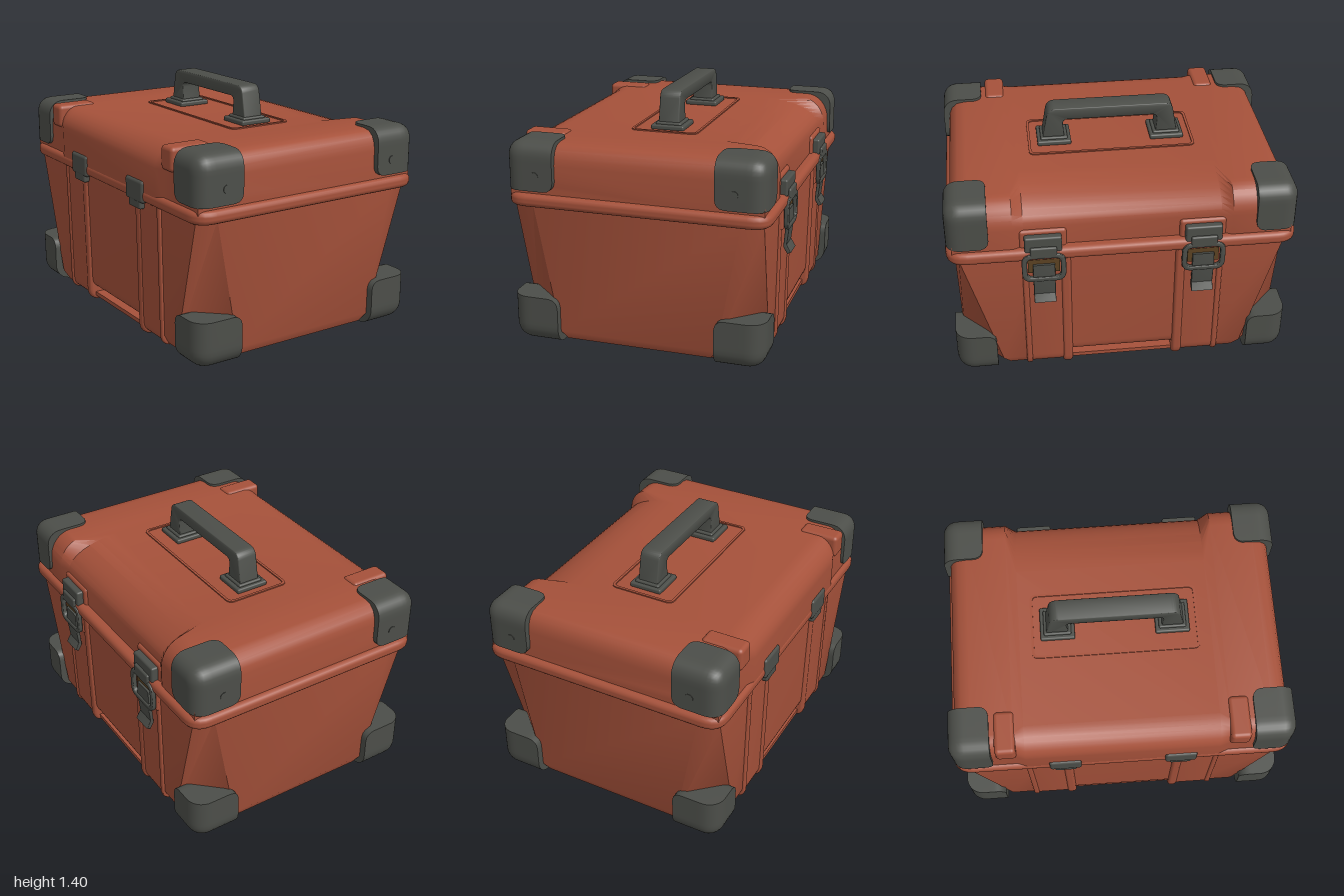
import * as THREE from 'three';
import { toCreasedNormals } from 'three/addons/utils/BufferGeometryUtils.js';
import { RoundedBoxGeometry } from 'three/addons/geometries/RoundedBoxGeometry.js';

const material = (name, color) => Object.assign(new THREE.MeshStandardMaterial({ color }), { name });

// Skin closed cross-sections and cap both ends
function loft(rings) {
  const n = rings[0].length, last = (rings.length - 1) * n, index = [];
  for (let r = 0; r < rings.length - 1; r++) {
    for (let i = 0; i < n; i++) {
      const a = r * n + i, b = r * n + (i + 1) % n;
      index.push(a, b, b + n, a, b + n, a + n);
    }
  }
  for (let i = 1; i < n - 1; i++) index.push(0, i + 1, i, last, last + i, last + i + 1);
  const g = new THREE.BufferGeometry();
  g.setAttribute('position', new THREE.Float32BufferAttribute(rings.flat(2), 3));
  g.setIndex(index);
  return toCreasedNormals(g, 0.6);
}

function roundedRect(Type, w, h, r) {
  const s = new Type(), x = w / 2, y = h / 2;
  s.moveTo(-x + r, -y);
  s.lineTo(x - r, -y).quadraticCurveTo(x, -y, x, -y + r);
  s.lineTo(x, y - r).quadraticCurveTo(x, y, x - r, y);
  s.lineTo(-x + r, y).quadraticCurveTo(-x, y, -x, y - r);
  s.lineTo(-x, -y + r).quadraticCurveTo(-x, -y, -x + r, -y);
  return s;
}

// Extrude along z, centred on z = 0
function slab(shape, depth, bevel = 0) {
  const g = new THREE.ExtrudeGeometry(shape, {
    depth: depth - 2 * bevel, bevelEnabled: bevel > 0, bevelSize: bevel,
    bevelThickness: bevel, bevelOffset: -bevel, bevelSegments: 4, curveSegments: 6,
  });
  return toCreasedNormals(g.translate(0, 0, bevel - depth / 2), 0.6);
}

// U-shaped slice of the lower box
function bodySlice(hx, bottom, width, bevel) {
  const s = new THREE.Shape(), r = 0.07, b = hx - 0.012;
  s.moveTo(-b + r, bottom);
  s.lineTo(b - r, bottom).quadraticCurveTo(b, bottom, b, bottom + r);
  s.lineTo(hx, 0.84).lineTo(-hx, 0.84).lineTo(-b, bottom + r);
  s.quadraticCurveTo(-b, bottom, -b + r, bottom);
  return slab(s, width, bevel);
}

// Lid cross-section at a given z, with separate shoulders left and right
function lidSection(z, xl, xr, top, rl, rr) {
  const pts = [[xr, 0.88, z]], n = 8, base = 0.93;
  const ryR = Math.min(0.16, top - base), ryL = Math.min(0.13, top - base);
  for (let i = 0; i <= n; i++) {
    const a = i / n * Math.PI / 2;
    pts.push([xr - rr + rr * Math.cos(a), top - ryR + ryR * Math.sin(a), z]);
  }
  for (let i = 0; i <= n; i++) {
    const a = Math.PI / 2 * (1 + i / n);
    pts.push([xl + rl + rl * Math.cos(a), top - ryL + ryL * Math.sin(a), z]);
  }
  pts.push([xl, 0.88, z]);
  return pts;
}

// Corner guard: rounded outer corner, softened inner notches, placed by signs
function guardGeometry(size, outer, signs, r) {
  const g = new THREE.BoxGeometry(...size, 10, 10, 10).toNonIndexed();
  const pos = g.attributes.position, r2 = 0.055;
  const shrink = d => {
    const len = Math.hypot(...d), m = Math.max(...d);
    return len > 0 ? m / len : 1;
  };
  for (let v = 0; v < pos.count; v++) {
    let p = [0, 1, 2].map(i => pos.getComponent(v, i) + size[i] / 2);
    const d = p.map((c, i) => Math.max(0, c - size[i] + r)), k = shrink(d);
    p = p.map((c, i) => c - d[i] + d[i] * k);
    const e = p.map(c => Math.max(0, r2 - c)), q = shrink(e);
    p = p.map((c, i) => c + e[i] - e[i] * q);
    pos.setXYZ(v, ...p.map((c, i) => signs[i] * (c - size[i]) + outer[i]));
  }
  if (signs[0] * signs[1] * signs[2] < 0) {
    for (let v = 0; v < pos.count; v += 3) {
      const a = [0, 1, 2].map(i => pos.getComponent(v, i));
      pos.setXYZ(v, pos.getX(v + 1), pos.getY(v + 1), pos.getZ(v + 1));
      pos.setXYZ(v + 1, ...a);
    }
  }
  g.deleteAttribute('normal');
  g.deleteAttribute('uv');
  return toCreasedNormals(g, 0.7);
}

export function createModel() {
  const model = new THREE.Group();
  model.name = 'toolbox';
  const red = material('red shell', 0xa5513a);
  const grey = material('dark grey fittings', 0x4c4e49);
  const brown = material('brown clasp', 0x5c4222);
  const add = (name, geometry, mat, x = 0, y = 0, z = 0, parent = model) => {
    const m = new THREE.Mesh(geometry, mat);
    m.name = name;
    m.position.set(x, y, z);
    parent.add(m);
    return m;
  };
  const box = (w, h, d, r) => new RoundedBoxGeometry(w, h, d, 3, r);
  const cx = -0.01;

  // Lower box: chamfered ends, whose corner facets widen downwards
  const endRing = (y, inset) => {
    const t = (0.83 - y) / 0.83;
    const hx = 0.722 - 0.012 * t - inset, hz = 0.955 - 0.01 * t - inset;
    const kx = 0.12 + 0.14 * t, kz = 0.03 + 0.22 * t;
    return [[hx, y, hz - kz], [hx, y, 0.5], [-hx, y, 0.5], [-hx, y, hz - kz],
      [-hx + kx, y, hz], [hx - kx, y, hz]];
  };
  const endGeometry = loft([endRing(0.005, 0.07), endRing(0.025, 0.025), endRing(0.075, 0), endRing(0.84, 0)]);
  for (const s of [1, -1]) {
    const end = add('bodyEnd', endGeometry, red, cx);
    if (s < 0) end.rotation.y = Math.PI;
    add('bodyPanel', bodySlice(0.73, 0.018, 0.26, 0.02), red, cx, 0, s * 0.445);
    add('bodyRib', bodySlice(0.737, 0, 0.06, 0.02), red, cx, 0, s * 0.33);
    add('bodyEdgeRib', bodySlice(0.737, 0.008, 0.035, 0.012), red, cx, 0, s * 0.56);
  }
  add('bodyCentre', bodySlice(0.722, 0.085, 0.64, 0), red, cx);
  add('bottomPlate', new THREE.BoxGeometry(1.38, 0.025, 0.64), red, cx, 0.042, 0);

  // Rim around the seam
  const rim = add('rim', slab(roundedRect(THREE.Shape, 1.52, 2, 0.12), 0.075, 0.03), red, -0.005, 0.863, 0);
  rim.rotation.x = -Math.PI / 2;

  // Lid: wider at the back and dished at the latch side in the middle
  const half = [[0.962, 1.07, 0], [0.957, 1.11, 0], [0.94, 1.15, 0], [0.91, 1.177, 0],
    [0.86, 1.187, 0], [0.62, 1.187, 0], [0.56, 1.183, 1]];
  const section = (z, top, mid) => mid
    ? lidSection(z, -0.76, 0.695, top, 0.16, 0.34)
    : lidSection(z, -0.74, 0.722, top, 0.1, 0.14);
  add('lid', loft([
    ...half.map(([z, t, m]) => section(-z, t, m)),
    ...half.slice().reverse().map(([z, t, m]) => section(z, t, m)),
  ]), red);
  for (const s of [1, -1]) add('lidStep', box(0.25, 0.14, 0.12, 0.025), red, -0.63, 1.128, s * 0.67);

  // Grooved frame around the handle
  const frameShape = roundedRect(THREE.Shape, 0.4, 0.98, 0.04);
  frameShape.holes.push(roundedRect(THREE.Path, 0.37, 0.95, 0.03));
  add('handleFrame', slab(frameShape, 0.008), red, 0, 1.186, 0).rotation.x = -Math.PI / 2;

  // Carrying handle on two stepped feet
  const grip = new THREE.Shape();
  grip.moveTo(-0.405, 1.19);
  grip.lineTo(-0.375, 1.36).quadraticCurveTo(-0.365, 1.403, -0.32, 1.403);
  grip.lineTo(0.32, 1.403).quadraticCurveTo(0.365, 1.403, 0.375, 1.36);
  grip.lineTo(0.405, 1.19).lineTo(0.27, 1.19).lineTo(0.28, 1.3);
  grip.quadraticCurveTo(0.28, 1.33, 0.25, 1.33).lineTo(-0.25, 1.33);
  grip.quadraticCurveTo(-0.28, 1.33, -0.28, 1.3).lineTo(-0.27, 1.19);
  add('handle', slab(grip, 0.125, 0.008), grey, 0.005).rotation.y = Math.PI / 2;
  for (const s of [1, -1]) {
    add('handleFoot', box(0.2, 0.03, 0.2, 0.01), grey, 0.005, 1.195, s * 0.335);
    add('handleFootStep', box(0.155, 0.03, 0.16, 0.01), grey, 0.005, 1.208, s * 0.335);
  }

  // Corner guards
  for (const sx of [1, -1]) {
    for (const sz of [1, -1]) {
      add('lowerGuard', guardGeometry([0.285, 0.28, 0.24], [cx + sx * 0.748, 0.003, sz * 0.99], [sx, -1, sz], 0.1), grey);
      add('upperGuard', guardGeometry([0.285, 0.28, 0.24], [cx + sx * 0.748, 1.202, sz * 0.995], [sx, 1, sz], 0.085), grey);
      const rivet = add('guardRivet', new THREE.CylinderGeometry(0.024, 0.024, 0.008, 20), grey, cx + sx * 0.57, 1.01, sz * 0.995);
      rivet.rotation.x = Math.PI / 2;
    }
  }

  // Latches on the left side
  const loopShape = roundedRect(THREE.Shape, 0.25, 0.19, 0.06);
  loopShape.holes.push(roundedRect(THREE.Path, 0.19, 0.13, 0.03));
  const lever = new THREE.Shape([[0.725, 0.8], [0.735, 0.69], [0.726, 0.575], [0.75, 0.535], [0.772, 0.545],
    [0.745, 0.59], [0.758, 0.7], [0.755, 0.8]].map(p => new THREE.Vector2(...p)));
  for (const s of [1, -1]) {
    const latch = new THREE.Group();
    latch.name = 'latch';
    latch.position.z = s * 0.455;
    model.add(latch);
    add('lidPad', box(0.08, 0.14, 0.27, 0.02), red, 0.672, 0.94, 0, latch);
    add('bodyPad', box(0.05, 0.15, 0.24, 0.015), red, 0.709, 0.765, 0, latch);
    add('claspPlate', new THREE.BoxGeometry(0.008, 0.09, 0.18), brown, 0.737, 0.785, 0, latch);
    add('bracket', box(0.055, 0.1, 0.21, 0.012), grey, 0.724, 0.935, 0, latch);
    add('bracketHook', box(0.03, 0.07, 0.15, 0.01), grey, 0.752, 0.89, 0, latch);
    add('loop', slab(loopShape, 0.028, 0.008), grey, 0.752, 0.785, 0, latch).rotation.y = Math.PI / 2;
    add('lever', slab(lever, 0.125, 0.004), grey, 0, 0, 0, latch);
  }

  // Hinges on the right side
  for (const s of [1, -1]) {
    add('hinge', box(0.05, 0.13, 0.19, 0.018), grey, -0.749, 0.885, s * 0.34);
    add('hingeLeaf', box(0.04, 0.08, 0.13, 0.012), grey, -0.75, 0.82, s * 0.34);
  }
  return model;
}
